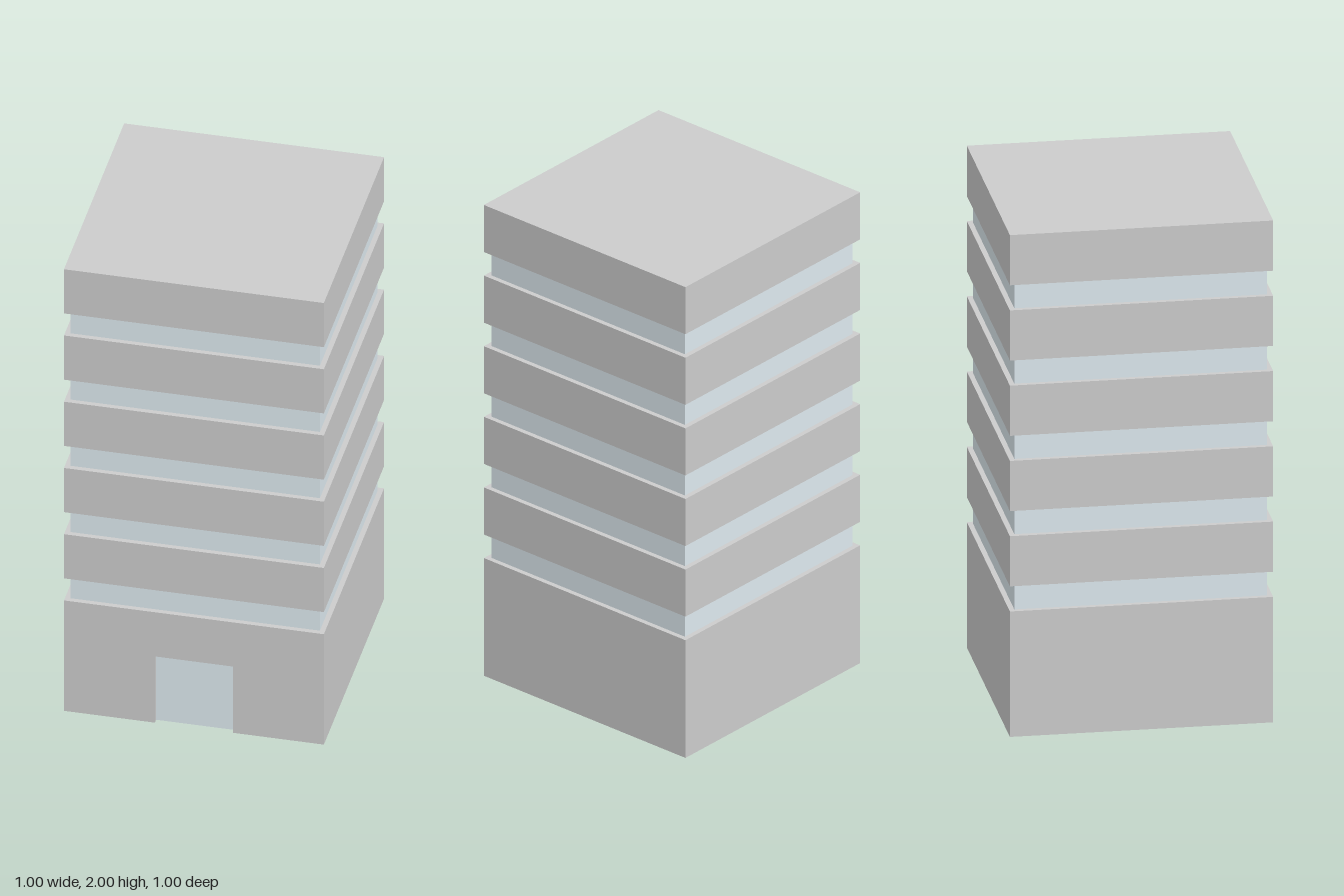
import * as THREE from 'three';

const WIDTH = 1;            // slab width and depth
const INSET = 0.02;         // recess of the glazing
const SLAB = 0.2;           // height of a storey slab
const BAND = 0.1;           // height of a window band
const BASE = 0.5;           // height of the ground floor
const DOOR_W = 0.3, DOOR_H = 0.3, DOOR_T = 0.02;

export function createModel() {
  const model = new THREE.Group();
  model.name = 'towerBlock';
  const concrete = new THREE.MeshStandardMaterial({ color: 0xcccccc });
  const glass = new THREE.MeshStandardMaterial({ color: 0xdde9ef });

  const add = (parent, name, geometry, material) => {
    const mesh = new THREE.Mesh(geometry, material);
    mesh.name = name;
    parent.add(mesh);
    return mesh;
  };
  // Box standing on height y
  const block = (parent, name, w, h, d, y, material, z = 0) =>
    add(parent, name, new THREE.BoxGeometry(w, h, d), material).position.set(0, y + h / 2, z);

  // Ground floor: plan with a doorway notch in the front, then the wall above it
  const ground = new THREE.Group();
  ground.name = 'groundFloor';
  model.add(ground);
  const r = WIDTH / 2, d = DOOR_W / 2, back = r - INSET - DOOR_T;
  const plan = new THREE.Shape([
    [-r, -r], [-d, -r], [-d, -back], [d, -back], [d, -r], [r, -r], [r, r], [-r, r],
  ].map(([x, y]) => new THREE.Vector2(x, y)));
  const walls = new THREE.ExtrudeGeometry(plan, { depth: DOOR_H, bevelEnabled: false });
  walls.rotateX(-Math.PI / 2);
  add(ground, 'groundWalls', walls, concrete);
  block(ground, 'wallAboveDoor', WIDTH, BASE - DOOR_H, WIDTH, DOOR_H, concrete);
  block(ground, 'door', DOOR_W, DOOR_H, DOOR_T, 0, glass, back + DOOR_T / 2);

  // Upper storeys: recessed window band below each slab
  for (let i = 0; i < 5; i++) {
    const y = BASE + i * (BAND + SLAB);
    const storey = new THREE.Group();
    storey.name = `storey${i + 1}`;
    model.add(storey);
    block(storey, 'windowBand', WIDTH - 2 * INSET, BAND, WIDTH - 2 * INSET, y, glass);
    block(storey, i === 4 ? 'roofSlab' : 'floorSlab', WIDTH, SLAB, WIDTH, y + BAND, concrete);
  }
  return model;
}
